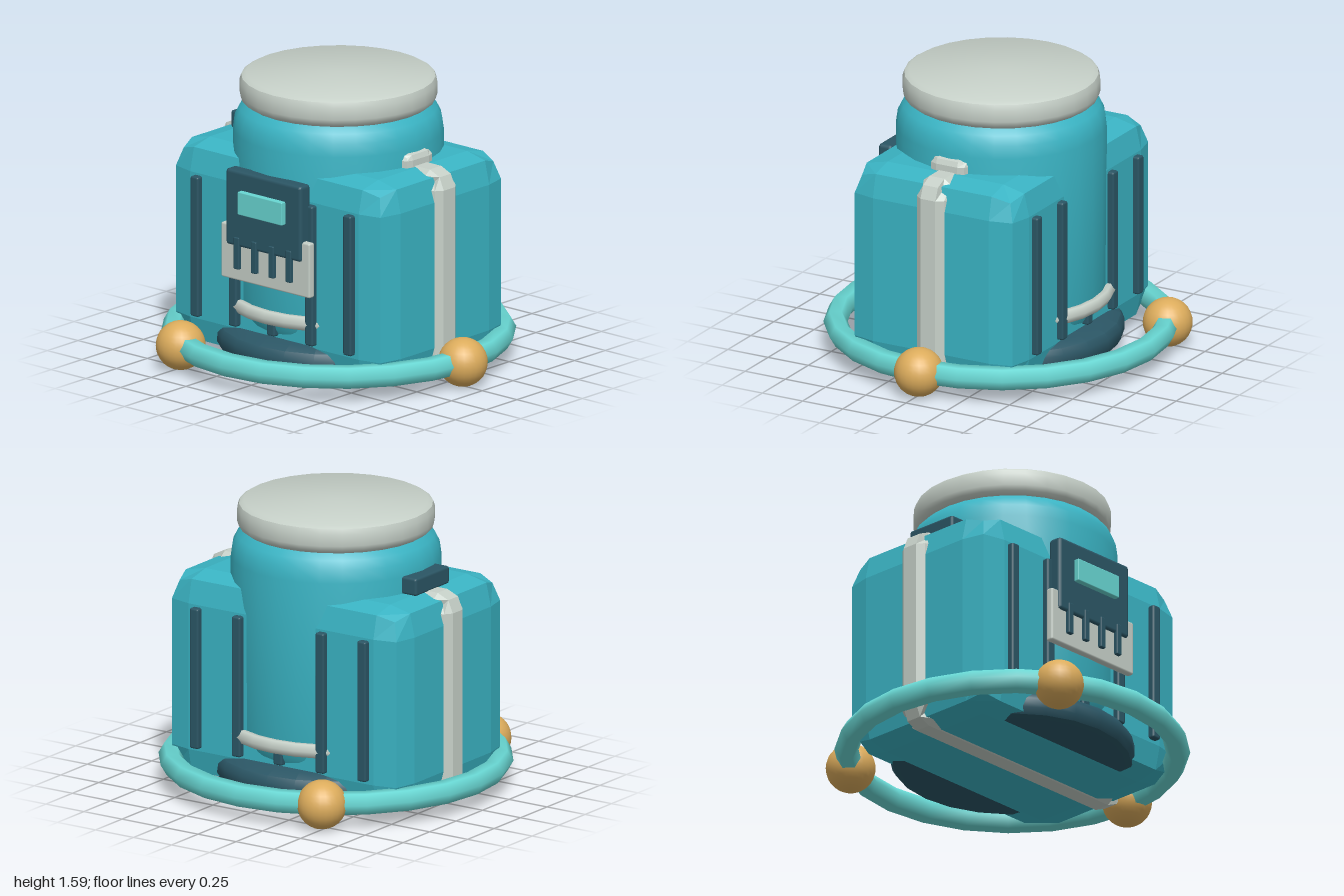
import * as THREE from 'three';
import { toCreasedNormals } from 'three/addons/utils/BufferGeometryUtils.js';
import { RoundedBoxGeometry } from 'three/addons/geometries/RoundedBoxGeometry.js';

const AXIS = -0.037; // x of the vertical axis of the body

const paint = (name, color) => {
  const m = new THREE.MeshStandardMaterial({ color });
  m.name = name;
  return m;
};

// Box whose edges are pulled in by `inset`, starting `margin` from each edge
function puffedBox(w, h, d, margin, inset) {
  const g = new THREE.BoxGeometry(w, h, d, 3, 3, 3);
  const p = g.attributes.position;
  const half = [w / 2, h / 2, d / 2];
  for (let i = 0; i < p.count; i++) {
    const v = [p.getX(i), p.getY(i), p.getZ(i)];
    const outer = v.map((c, k) => Math.abs(c) > half[k] * 0.9);
    const count = outer.filter(Boolean).length;
    const q = v.map((c, k) => Math.sign(c) * (outer[k]
      ? half[k] - (count > 1 ? inset * (count - 1) : 0)
      : half[k] - Math.min(margin, half[k] * 0.6)));
    p.setXYZ(i, ...q);
  }
  return toCreasedNormals(g, 0.15);
}

function lathe(points, segments) {
  const g = new THREE.LatheGeometry(points.map(([r, y]) => new THREE.Vector2(r, y)), segments);
  return toCreasedNormals(g, 0.7);
}

export function createModel() {
  const model = new THREE.Group();
  model.name = 'device';
  const teal = paint('teal shell', 0x3ab4c4);
  const grey = paint('pale grey', 0xc6d0c8);
  const navy = paint('dark slate', 0x2b5665);
  const aqua = paint('aqua', 0x68d6d2);
  const gold = paint('gold', 0xdcac5c);

  const add = (name, geometry, material, x = AXIS, y = 0, z = 0) => {
    const mesh = new THREE.Mesh(geometry, material);
    mesh.name = name;
    mesh.position.set(x, y, z);
    model.add(mesh);
    return mesh;
  };
  // Slightly rounded block given by its limits
  const block = (name, material, x0, x1, y0, y1, z0, z1, r = 0.012) =>
    add(name, new RoundedBoxGeometry(x1 - x0, y1 - y0, z1 - z0, 1, r), material,
      (x0 + x1) / 2, (y0 + y1) / 2, (z0 + z1) / 2);

  // Body and the band that wraps its sides
  add('bodyBox', puffedBox(1.535, 1.14, 1.04, 0.16, 0.03), teal, AXIS, 0.617);
  add('sideBand', puffedBox(1.6, 1.15, 0.23, 0.1, 0.03), grey, AXIS, 0.617);
  add('bandClip', puffedBox(0.3, 0.13, 0.23, 0.05, 0.012), grey, 0.41, 1.2);

  // Round barrel, lid and foot
  add('barrel', lathe([[0, 0.2], [0.5, 0.2], [0.545, 0.27], [0.568, 0.36], [0.57, 1.28],
    [0.56, 1.35], [0.535, 1.4], [0.49, 1.44], [0, 1.44]], 28), teal);
  add('lid', lathe([[0, 1.43], [0.5, 1.432], [0.525, 1.45], [0.535, 1.48], [0.535, 1.545],
    [0.525, 1.575], [0.5, 1.59], [0, 1.593]], 28), grey);
  add('foot', lathe([[0, 0.05], [0.59, 0.05], [0.645, 0.065], [0.665, 0.1], [0.665, 0.155],
    [0.645, 0.19], [0.58, 0.215], [0, 0.215]], 24), navy);

  // Thin rail around the barrel
  const rail = add('rail', new THREE.TorusGeometry(0.575, 0.042, 6, 28), grey, AXIS, 0.34);
  rail.rotation.x = Math.PI / 2;

  // Upright ribs on the front and back
  for (const side of [1, -1]) {
    for (let i = -2; i <= 2; i++) {
      const x = AXIS + i * 0.275;
      const rib = add('rib', new RoundedBoxGeometry(0.058, 0.79, 0.09, 1, 0.012), navy, x, 0.62, side * 0.511);
      rib.rotation.y = side > 0 ? 0 : Math.PI;
    }
  }

  // Front control panel with screen and prongs
  block('backPlate', grey, -0.355, 0.285, 0.51, 0.82, 0.555, 0.6);
  block('panel', navy, -0.31, 0.235, 0.705, 1.135, 0.53, 0.615, 0.02);
  block('screen', aqua, -0.195, 0.125, 0.9, 1.03, 0.6, 0.645, 0.006);
  for (let i = 0; i < 4; i++) {
    const x = -0.225 + i * 0.125;
    block('prong', navy, x - 0.019, x + 0.019, 0.58, 0.76, 0.58, 0.622, 0.006);
  }

  // Block on the right shoulder
  block('shoulderBlock', navy, -0.675, -0.55, 1.185, 1.285, -0.16, 0.16, 0.015);

  // Bumper ring with three balls
  const ring = add('bumperRing', new THREE.TorusGeometry(0.895, 0.066, 6, 24), aqua, AXIS, 0.142);
  ring.rotation.x = Math.PI / 2;
  for (let i = 0; i < 3; i++) {
    const a = (i * Math.PI * 2) / 3;
    add('ball', new THREE.SphereGeometry(0.135, 24, 16), gold,
      AXIS + 0.897 * Math.cos(a), 0.137, 0.897 * Math.sin(a));
  }
  return model;
}
